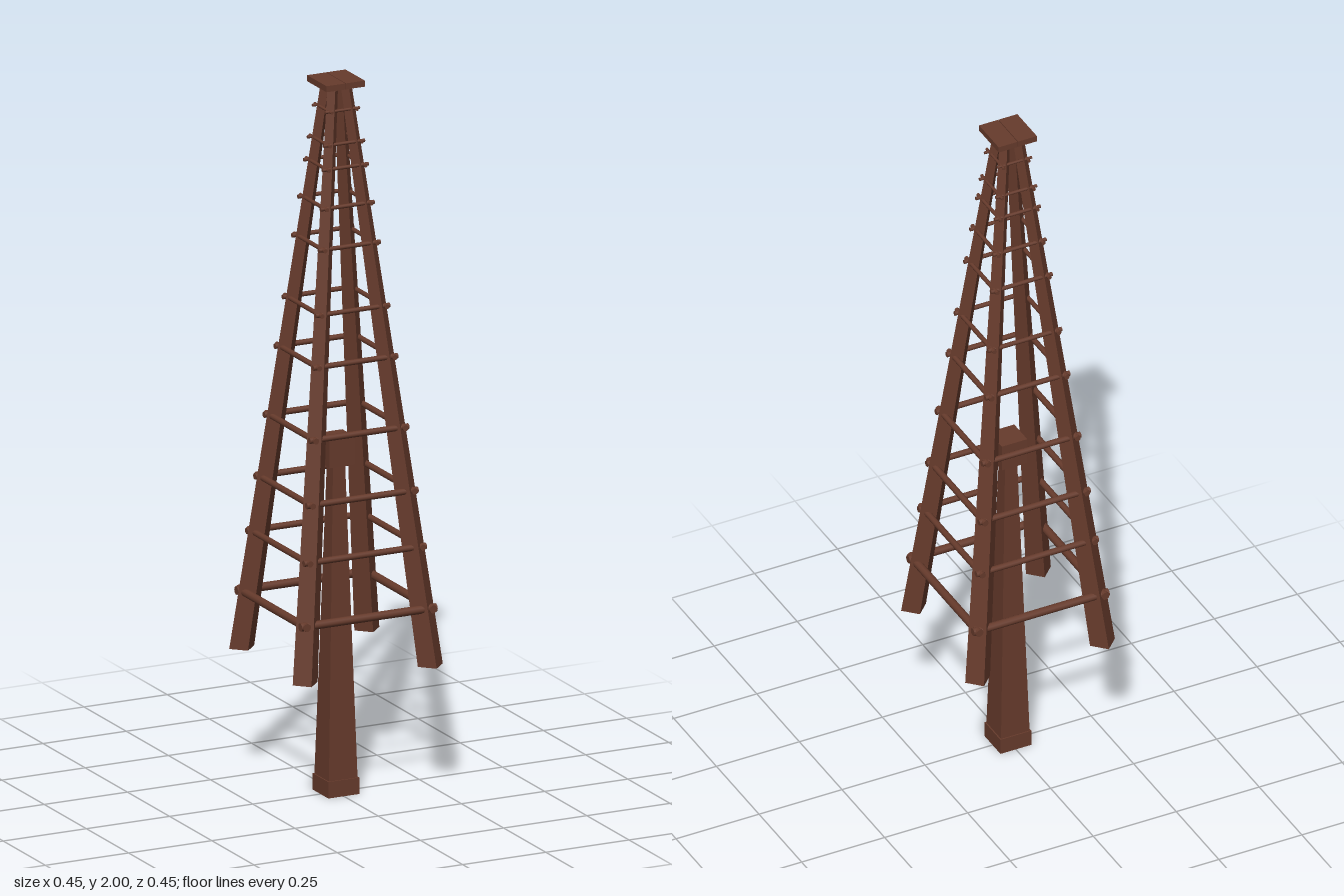
import * as THREE from 'three';

const LEG_BOTTOM = 0.38, LEG_TOP = 1.985;
// distance of a leg's centre line from the axis, along x and along z
const legOffset = (y) => 0.188 - 0.168 * (y - LEG_BOTTOM) / (LEG_TOP - LEG_BOTTOM);

// four-sided tapering beam with flat faces; r is the half diagonal
function taperedBeam(rTop, rBottom, y0, y1) {
  const g = new THREE.CylinderGeometry(rTop, rBottom, y1 - y0, 4);
  g.translate(0, (y0 + y1) / 2, 0);
  return g;
}

// leaning leg: shear the beam so both ends stay horizontal
function legGeometry(sx, sz) {
  const g = taperedBeam(0.016, 0.0375, LEG_BOTTOM, LEG_TOP).toNonIndexed();
  const p = g.attributes.position;
  for (let i = 0; i < p.count; i++) {
    const o = legOffset(p.getY(i));
    p.setX(i, p.getX(i) + sx * o);
    p.setZ(i, p.getZ(i) + sz * o);
  }
  g.computeVertexNormals();
  return g;
}

export function createModel() {
  const model = new THREE.Group();
  const wood = new THREE.MeshStandardMaterial({ color: 0x673b2c });
  wood.name = 'brown wood';

  const add = (name, geometry, parent = model) => {
    const mesh = new THREE.Mesh(geometry, wood);
    mesh.name = name;
    parent.add(mesh);
    return mesh;
  };

  // four splayed legs, turned with an edge to the front
  for (const sx of [-1, 1]) {
    for (const sz of [-1, 1]) {
      add(`${sz > 0 ? 'front' : 'back'}${sx > 0 ? 'Left' : 'Right'}Leg`, legGeometry(sx, sz));
    }
  }

  // rings of round crossbars: [height, bar radius]
  const rings = [
    [0.54, 0.0115], [0.71, 0.0088], [0.865, 0.0088], [1.04, 0.0085],
    [1.235, 0.0075], [1.375, 0.0065], [1.55, 0.006], [1.66, 0.0055],
    [1.765, 0.005], [1.83, 0.0045], [1.92, 0.004],
  ];
  rings.forEach(([y, r], i) => {
    const ring = new THREE.Group();
    ring.name = `crossbarRing${i + 1}`;
    const out = legOffset(y) + 0.007 + r;
    const bar = new THREE.CylinderGeometry(r, r, 2 * (out + 0.014), 10);
    bar.rotateZ(Math.PI / 2);
    for (let k = 0; k < 4; k++) {
      const g = bar.clone().translate(0, y, out).rotateY(k * Math.PI / 2);
      add('crossbar', g, ring);
    }
    model.add(ring);
  });

  // top platform of two planks with a narrow crack
  for (const s of [-1, 1]) {
    const plank = add('topPlank', new THREE.BoxGeometry(0.0565, 0.017, 0.115));
    plank.position.set(s * 0.0293, 1.9915, 0);
  }

  // central post: foot, tapering shaft and square head
  const foot = add('postFoot', new THREE.BoxGeometry(0.093, 0.046, 0.093));
  foot.position.y = 0.023;
  const shaft = taperedBeam(0.018 * Math.SQRT2, 0.043 * Math.SQRT2, 0.046, 0.93).toNonIndexed();
  shaft.rotateY(Math.PI / 4);
  shaft.computeVertexNormals();
  add('postShaft', shaft);
  const head = add('postHead', new THREE.BoxGeometry(0.077, 0.078, 0.077));
  head.position.y = 0.961;

  return model;
}
